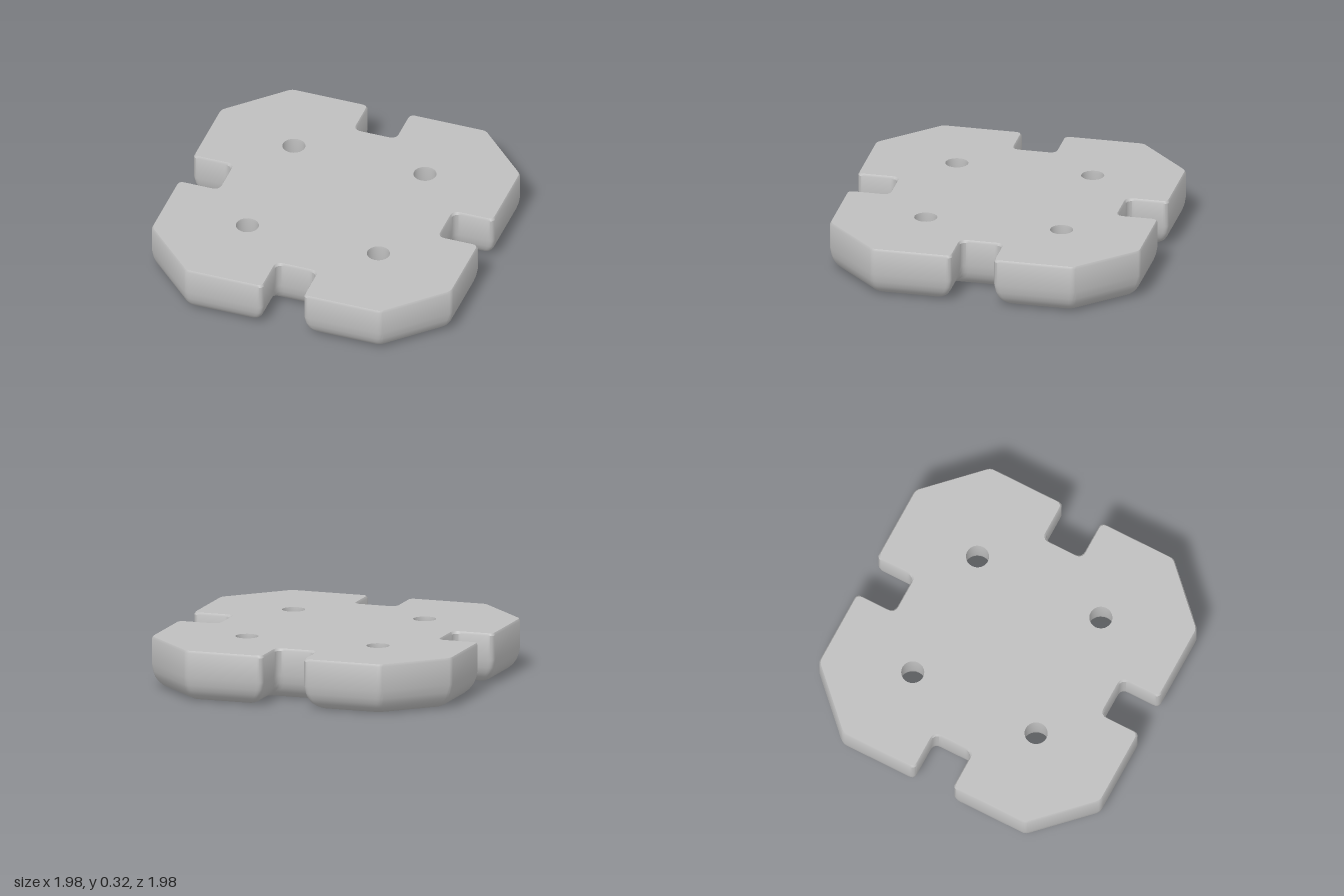
import * as THREE from 'three';
import { toCreasedNormals } from 'three/addons/utils/BufferGeometryUtils.js';

// Side profile: [height, inset of the outline, growth of the holes]
const PROFILE = [
  [0, 0.09, 0.1], [0.012, 0.066, 0.078], [0.035, 0.04, 0.055], [0.065, 0.02, 0.033],
  [0.1, 0.008, 0.016], [0.15, 0, 0.005], [0.305, 0, 0], [0.32, 0.008, 0.002],
];

// Square with cut corners and a notch in each side, counter-clockwise
function outline(inset) {
  const a = 0.99 - inset, c = 1.632 - inset * Math.SQRT2;
  const w = 0.133 + inset, n = 0.727 - inset;
  // Corners of one quarter: x, y, rounding
  const quarter = [
    [n, w, 0.05], [a, w, 0.035], [a, c - a, 0.025],
    [c - a, a, 0.025], [w, a, 0.035], [w, n, 0.05],
  ];
  const corners = [];
  for (let q = 0; q < 4; q++) {
    for (const [x, y, r] of quarter) {
      const p = new THREE.Vector2(x, y).rotateAround(new THREE.Vector2(), q * Math.PI / 2);
      corners.push({ p, r });
    }
  }
  const points = [];
  corners.forEach(({ p, r }, i) => {
    const before = corners[(i + corners.length - 1) % corners.length].p;
    const after = corners[(i + 1) % corners.length].p;
    const start = before.clone().sub(p).setLength(r).add(p);
    const end = after.clone().sub(p).setLength(r).add(p);
    points.push(...new THREE.QuadraticBezierCurve(start, p, end).getPoints(5));
  });
  return points;
}

// Round hole, clockwise
function hole(x, y, radius) {
  const points = [];
  for (let i = 0; i < 24; i++) {
    const t = -i / 24 * Math.PI * 2;
    points.push(new THREE.Vector2(x + radius * Math.cos(t), y + radius * Math.sin(t)));
  }
  return points;
}

function plateGeometry() {
  const positions = [], index = [];
  const layers = PROFILE.map(([, inset, grow]) => {
    const loops = [outline(inset)];
    for (const x of [-0.433, 0.43]) {
      for (const y of [-0.425, 0.44]) loops.push(hole(x, y, 0.07 + grow));
    }
    return loops;
  });
  layers.forEach((loops, k) => {
    for (const p of loops.flat()) positions.push(p.x, PROFILE[k][0], -p.y);
  });
  const count = layers[0].flat().length;

  // Walls of the rim and the holes
  for (let k = 0; k < layers.length - 1; k++) {
    let first = k * count;
    for (const loop of layers[k]) {
      for (let i = 0; i < loop.length; i++) {
        const a = first + i, b = first + (i + 1) % loop.length;
        index.push(a, b, b + count, a, b + count, a + count);
      }
      first += loop.length;
    }
  }

  // Flat underside and top
  for (const k of [0, layers.length - 1]) {
    const [rim, ...holes] = layers[k];
    for (const [a, b, c] of THREE.ShapeUtils.triangulateShape(rim, holes)) {
      const o = k * count;
      if (k === 0) index.push(o + a, o + c, o + b);
      else index.push(o + a, o + b, o + c);
    }
  }

  const geometry = new THREE.BufferGeometry();
  geometry.setAttribute('position', new THREE.Float32BufferAttribute(positions, 3));
  geometry.setIndex(index);
  return toCreasedNormals(geometry, 0.6);
}

export function createModel() {
  const grey = new THREE.MeshStandardMaterial({ color: 0xbfbfbf });
  grey.name = 'light grey';

  const plate = new THREE.Mesh(plateGeometry(), grey);
  plate.name = 'notchedPlate';

  const model = new THREE.Group();
  model.name = 'notchedPlateModel';
  model.add(plate);
  return model;
}
